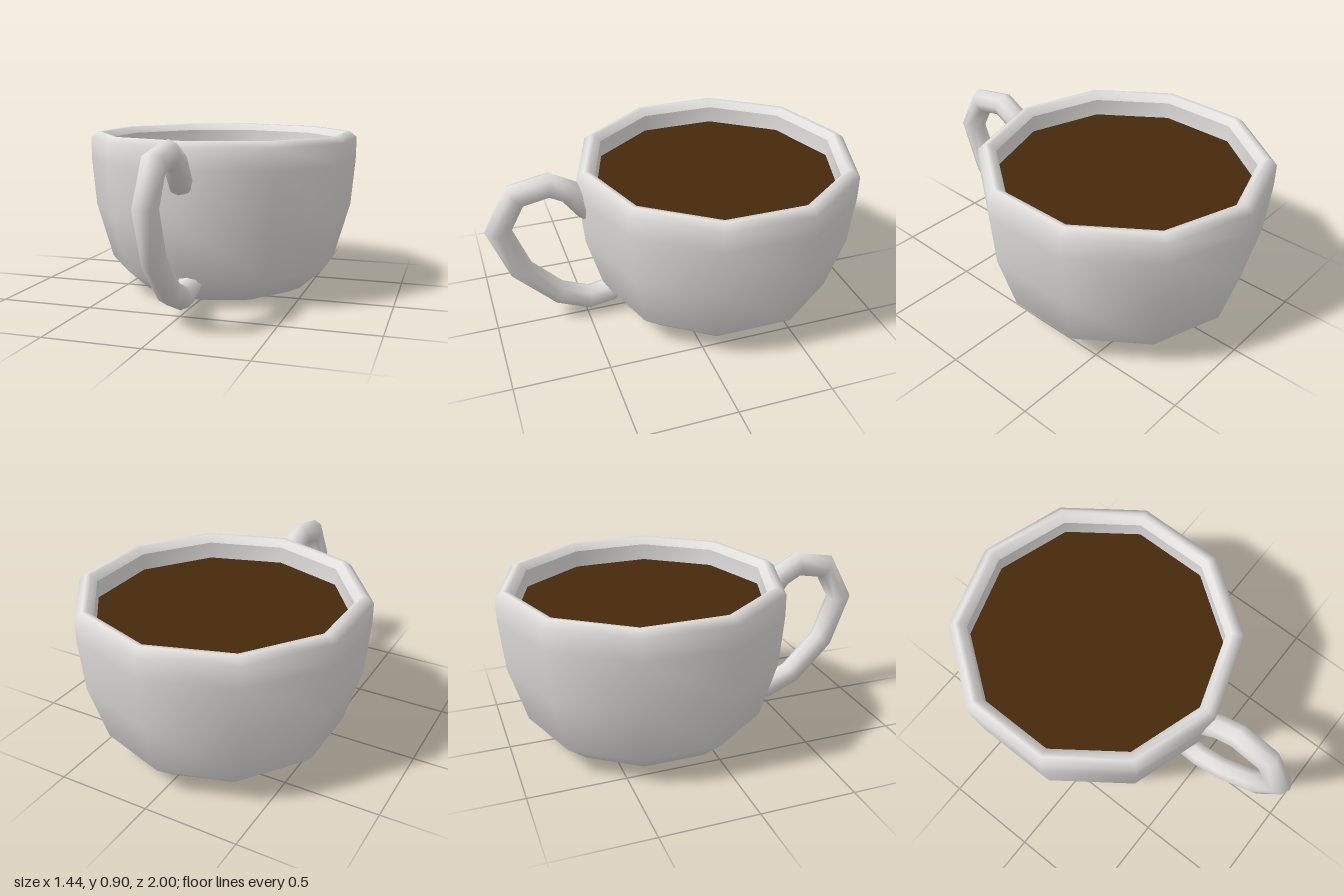
import * as THREE from 'three';

const SIDES = 10;
const CUP_Z = -0.245;

// Lathe with ten sides around the cup axis
function turned(points, material, name) {
  const g = new THREE.LatheGeometry(points.map(([r, y]) => new THREE.Vector2(r, y)), SIDES);
  const m = new THREE.Mesh(g, material);
  m.name = name;
  m.position.z = CUP_Z;
  return m;
}

// Flat ten-sided disc facing up (dir = 1) or down (dir = -1)
function disc(radius, y, dir, material, name) {
  const g = new THREE.CircleGeometry(radius, SIDES, Math.PI / 2);
  g.rotateX(-dir * Math.PI / 2);
  const m = new THREE.Mesh(g, material);
  m.name = name;
  m.position.set(0, y, CUP_Z);
  return m;
}

// Mitred tube along a [z, y] path lying in the x = 0 plane
function handleGeometry(path, radius, sides) {
  const pts = path.map(([z, y]) => new THREE.Vector2(z, y));
  const n = pts.length;
  const pos = [], index = [];
  for (let i = 0; i < n; i++) {
    const p = pts[i];
    const before = i > 0 ? p.clone().sub(pts[i - 1]) : pts[1].clone().sub(p);
    const after = i < n - 1 ? pts[i + 1].clone().sub(p) : before.clone();
    const d = before.normalize();
    const t = d.clone().add(after.normalize()).normalize();
    const stretch = 1 / t.dot(d);
    for (let j = 0; j < sides; j++) {
      const ang = (j / sides) * Math.PI * 2;
      const u = Math.cos(ang) * radius * stretch;
      pos.push(Math.sin(ang) * radius, p.y + t.x * u, p.x - t.y * u);
    }
  }
  for (let i = 0; i < n - 1; i++) {
    for (let j = 0; j < sides; j++) {
      const a = i * sides + j, b = i * sides + (j + 1) % sides;
      index.push(a, a + sides, b, b, a + sides, b + sides);
    }
  }
  // End caps
  const e = (n - 1) * sides;
  for (let j = 1; j < sides - 1; j++) {
    index.push(0, j, j + 1, e, e + j + 1, e + j);
  }
  const g = new THREE.BufferGeometry();
  g.setAttribute('position', new THREE.Float32BufferAttribute(pos, 3));
  g.setIndex(index);
  g.computeVertexNormals();
  return g;
}

export function createModel() {
  const model = new THREE.Group();
  model.name = 'coffeeCup';
  const china = new THREE.MeshStandardMaterial({ color: 0xe0dfdd });
  china.name = 'white china';
  const brown = new THREE.MeshStandardMaterial({ color: 0x46290b });
  brown.name = 'coffee brown';

  // Outer body and rounded rim
  model.add(turned([
    [0.43, 0.003], [0.51, 0.04], [0.642, 0.155], [0.731, 0.46], [0.755, 0.73],
    [0.755, 0.845], [0.715, 0.878], [0.69, 0.875], [0.66, 0.84],
  ], china, 'cupBody'));
  model.add(disc(0.43, 0.003, -1, china, 'cupBase'));

  // Inner wall and floor
  model.add(turned([[0.66, 0.84], [0.66, 0.73], [0.63, 0.46], [0.55, 0.2], [0.4, 0.08]], china, 'innerWall'));
  model.add(disc(0.4, 0.08, 1, china, 'innerFloor'));

  // Drink surface
  model.add(disc(0.66, 0.748, 1, brown, 'coffee'));

  // Handle loop at the front
  const handle = new THREE.Mesh(handleGeometry([
    [0.46, 0.655], [0.55, 0.775], [0.655, 0.833], [0.83, 0.8], [0.932, 0.613],
    [0.837, 0.36], [0.648, 0.168], [0.488, 0.1], [0.37, 0.12], [0.32, 0.165],
  ], 0.064, 8), china);
  handle.name = 'handle';
  model.add(handle);

  return model;
}
